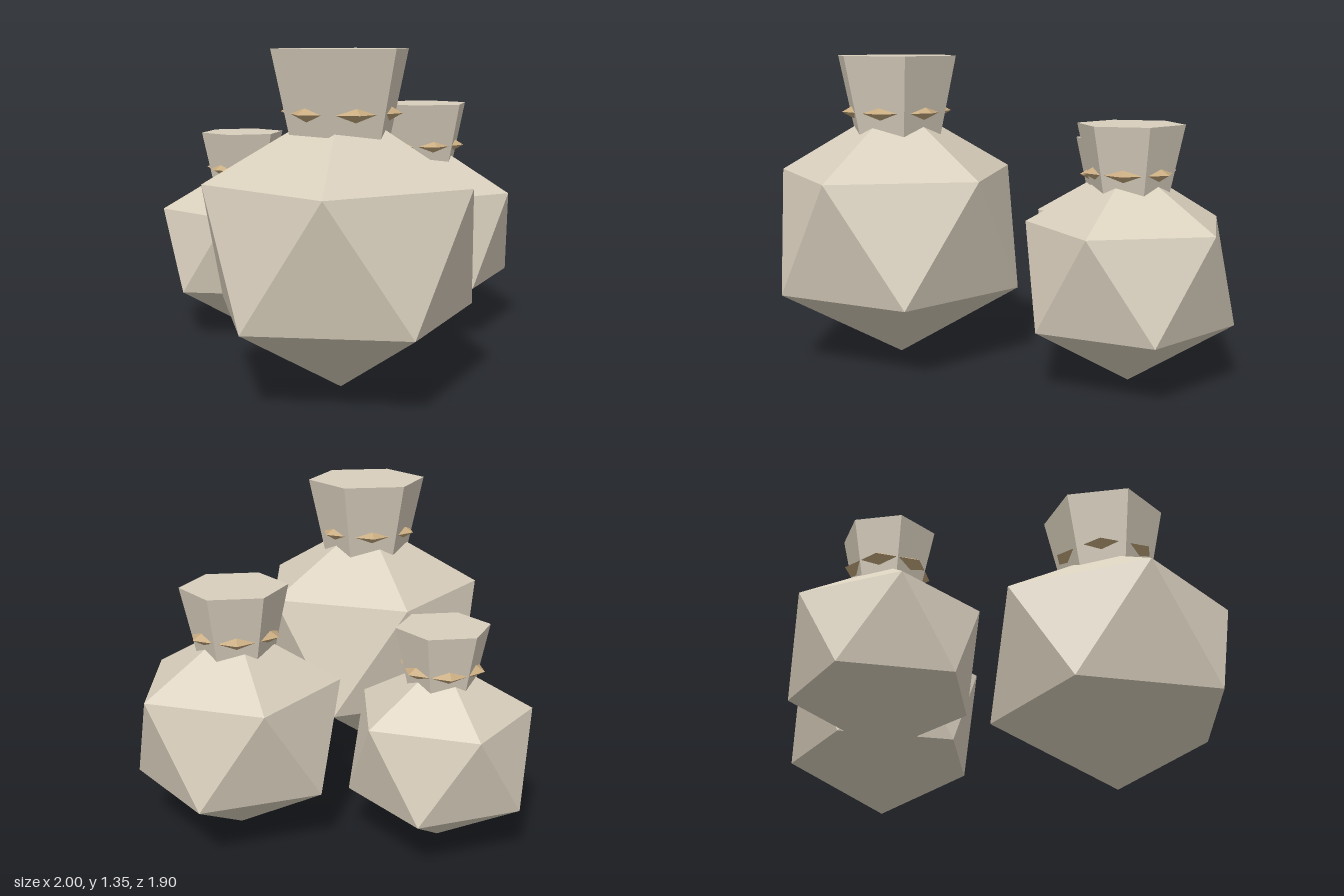
import * as THREE from 'three';

const cloth = new THREE.MeshStandardMaterial({ color: 0xd8cebc });
cloth.name = 'cloth';
const rope = new THREE.MeshStandardMaterial({ color: 0xc8ab80 });
rope.name = 'rope';

// Split the faces so that every facet is flat.
function faceted(geometry) {
  const flat = geometry.index ? geometry.toNonIndexed() : geometry;
  flat.computeVertexNormals();
  return flat;
}

// Twenty-sided bag standing on one point, with two staggered rings of five corners.
function bagGeometry() {
  const radius = 0.545;
  const corner = (y, step) => {
    const a = (step * Math.PI * 2) / 5;
    return [radius * Math.cos(a), y, -radius * Math.sin(a)];
  };
  const upper = (i) => corner(0.842, i);
  const lower = (i) => corner(0.326, i + 0.5);
  const top = [0, 1.158, 0];
  const bottom = [0, 0.008, 0];
  const points = [];
  for (let i = 0; i < 5; i++) {
    points.push(
      ...top, ...upper(i), ...upper(i + 1),
      ...upper(i), ...lower(i), ...upper(i + 1),
      ...lower(i), ...lower(i + 1), ...upper(i + 1),
      ...bottom, ...lower(i + 1), ...lower(i),
    );
  }
  const geometry = new THREE.BufferGeometry();
  geometry.setAttribute('position', new THREE.Float32BufferAttribute(points, 3));
  return faceted(geometry);
}

function addMesh(group, name, geometry, material) {
  const mesh = new THREE.Mesh(geometry, material);
  mesh.name = name;
  group.add(mesh);
  return mesh;
}

function createSack(name, x, z, size) {
  const sack = new THREE.Group();
  sack.name = name;
  sack.position.set(x, 0, z);

  addMesh(sack, 'bag', bagGeometry(), cloth).scale.setScalar(size);

  // Flared, six-sided gathered neck
  const neck = new THREE.CylinderGeometry(0.28, 0.203, 0.355, 6).translate(0, 1.18, 0);
  addMesh(sack, 'neck', faceted(neck), cloth).scale.setScalar(size);

  // Tie of equal thickness on every sack; the neck corners poke through it
  const tie = new THREE.TorusGeometry(0.207 * size, 0.036, 3, 6).rotateX(Math.PI / 2);
  addMesh(sack, 'tie', faceted(tie), rope).position.y = 1.112 * size;
  return sack;
}

export function createModel() {
  const model = new THREE.Group();
  model.name = 'sacks';
  model.add(
    createSack('largeSack', -0.455, 0.43, 1),
    createSack('mediumSack', 0.562, 0.02, 0.802),
    createSack('smallSack', -0.05, -0.588, 0.702),
  );
  return model;
}
